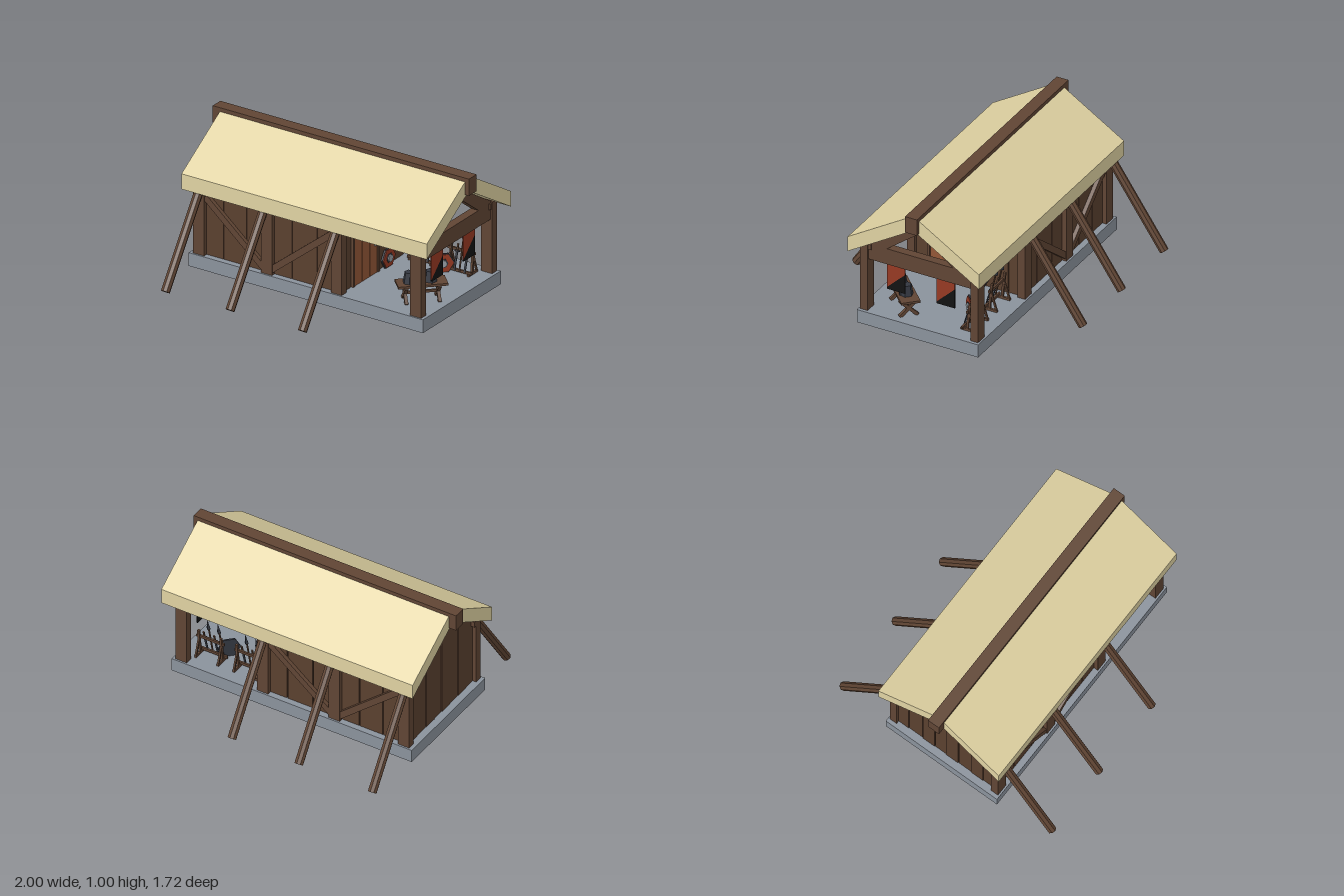
import * as THREE from 'three';

const mat = (name, color) => {
  const m = new THREE.MeshStandardMaterial({ color });
  m.name = name;
  return m;
};

export function createModel() {
  const thatch = mat('thatch', 0xdfd2a2);
  const timber = mat('timber', 0x604534);
  const plankWood = mat('plank wood', 0x5a402f);
  const doorWood = mat('door wood', 0x925637);
  const stone = mat('stone', 0x8a929c);
  const red = mat('red', 0x963923);
  const black = mat('black', 0x121212);
  const iron = mat('dark iron', 0x343841);
  const steel = mat('steel', 0x969da3);

  const root = new THREE.Group();
  root.name = 'openShelter';
  const group = (name, parent = root) => {
    const g = new THREE.Group();
    g.name = name;
    parent.add(g);
    return g;
  };
  const add = (parent, name, geo, m, x = 0, y = 0, z = 0) => {
    const mesh = new THREE.Mesh(geo, m);
    mesh.name = name;
    mesh.position.set(x, y, z);
    parent.add(mesh);
    return mesh;
  };
  const box = (parent, name, m, w, h, d, x, y, z) =>
    add(parent, name, new THREE.BoxGeometry(w, h, d), m, x, y, z);
  // Bar running between two points
  const UP = new THREE.Vector3(0, 1, 0);
  const bar = (parent, name, m, a, b, w, d = w, sides = 0) => {
    const A = new THREE.Vector3(...a), dir = new THREE.Vector3(...b).sub(A);
    const len = dir.length();
    let geo;
    if (sides) {
      geo = new THREE.CylinderGeometry(w, d, len, sides).toNonIndexed();
      geo.computeVertexNormals();
    } else geo = new THREE.BoxGeometry(w, len, d);
    const mesh = add(parent, name, geo, m);
    mesh.position.copy(A).addScaledVector(dir, 0.5);
    mesh.quaternion.setFromUnitVectors(UP, dir.normalize());
    return mesh;
  };
  // Plate with a (z, y) outline, spanning x0..x1
  const plate = (parent, name, m, pts, x0, x1, hole) => {
    const toV = (p) => new THREE.Vector2(p[0], p[1]);
    const shape = new THREE.Shape(pts.map(toV));
    if (hole) shape.holes.push(new THREE.Path(hole.map(toV)));
    const geo = new THREE.ExtrudeGeometry(shape, { depth: x1 - x0, bevelEnabled: false });
    geo.rotateY(-Math.PI / 2);
    return add(parent, name, geo, m, x1, 0, 0);
  };
  const underRoof = (z) => Math.min(0.865, 0.865 - (Math.abs(z) - 0.04) * 0.618);

  // Base, roof and ridge
  box(root, 'stoneFloor', stone, 1.83, 0.095, 0.9, 0, 0.0825, 0);
  plate(root, 'roof', thatch, [
    [0.487, 0.59], [0.487, 0.7], [0.04, 0.975], [-0.04, 0.975], [-0.487, 0.7],
    [-0.487, 0.59], [-0.04, 0.865], [0.04, 0.865],
  ], -0.945, 0.97);
  box(root, 'ridgeBeam', timber, 2, 0.12, 0.088, 0, 0.94, 0);

  // Posts, wall plates, raking struts and V braces on both long sides
  const frame = group('frame');
  for (const s of [1, -1]) {
    for (const x of [-0.845, -0.315, 0.23, 0.85])
      box(frame, 'post', timber, 0.085, 0.51, 0.055, x, 0.385, s * 0.41);
    box(frame, 'wallPlate', timber, 1.78, 0.04, 0.05, 0, 0.612, s * 0.385);
    for (const x of s > 0 ? [-0.835, -0.33, 0.235] : [-0.855, -0.295, 0.215])
      bar(frame, 'rakingStrut', timber, [x, 0.02, s * 0.836], [x, 0.615, s * 0.43], 0.031, 0.031, 8);
    bar(frame, 'brace', timber, [-0.34, 0.16, s * 0.418], [-0.8, 0.55, s * 0.418], 0.045, 0.03);
    bar(frame, 'brace', timber, [-0.29, 0.16, s * 0.418], [0.21, 0.56, s * 0.418], 0.045, 0.03);
  }

  // Plank walls along the sides, with narrow gaps
  const walls = group('plankWalls');
  const cuts = [-0.85, -0.67, -0.49, -0.3, -0.135, 0.06, 0.245];
  for (const z of [0.395, -0.395])
    for (let i = 0; i < cuts.length - 1; i++)
      box(walls, 'sidePlank', plankWood, cuts[i + 1] - cuts[i] - 0.006, 0.5, 0.022,
        (cuts[i] + cuts[i + 1]) / 2, 0.38, z);

  // Gable planks cut to the roof slope: closed end and inner partition
  const zCuts = [-0.41, -0.3, -0.19, -0.09, 0, 0.1, 0.2, 0.3, 0.41];
  for (const x of [-0.865, 0.225])
    for (let i = 0; i < zCuts.length - 1; i++) {
      const a = zCuts[i] + 0.002, b = zCuts[i + 1] - 0.002;
      const off = (i % 2) * 0.004;
      plate(walls, 'gablePlank', plankWood,
        [[a, 0.13], [b, 0.13], [b, underRoof(b)], [a, underRoof(a)]], x + off, x + 0.022 + off);
    }

  // Open-end truss with tie beam
  plate(frame, 'endTruss', timber, [
    [-0.435, 0.515], [0.435, 0.515], [0.435, 0.615], [0.04, 0.863], [-0.04, 0.863], [-0.435, 0.615],
  ], 0.82, 0.88, [[-0.245, 0.632], [0, 0.82], [0.245, 0.632]]);

  // Door
  const door = group('door');
  for (let i = 0; i < 3; i++)
    box(door, 'doorPlank', doorWood, 0.012, 0.41, 0.084, 0.256, 0.335, 0.055 + i * 0.087);
  box(door, 'doorHandle', steel, 0.015, 0.03, 0.01, 0.266, 0.345, 0.04);
  for (const z of [0, 0.285])
    box(door, 'doorJamb', timber, 0.02, 0.42, 0.02, 0.258, 0.34, z);

  // Two-coloured banners under the tie beam
  for (const z of [0.193, -0.175]) {
    const banner = group('banner');
    banner.position.z = z;
    const w = 0.067;
    plate(banner, 'bannerTop', red, [[w, 0.325], [w, 0.52], [-w, 0.52], [-w, 0.455]], 0.846, 0.854);
    plate(banner, 'bannerBottom', black, [[w, 0.312], [w, 0.325], [-w, 0.455], [-w, 0.312]], 0.846, 0.854);
  }

  // Hexagonal shields
  const disc = (r, h, n = 6) => {
    const g = new THREE.CylinderGeometry(r, r, h, n).toNonIndexed();
    g.computeVertexNormals();
    return g.rotateZ(-Math.PI / 2);
  };
  for (const [x, z, turn] of [[0.275, -0.095, 0], [0.615, -0.225, -Math.PI / 4]]) {
    const shield = group('shield');
    shield.position.set(x, 0.197, z);
    shield.rotation.y = turn;
    add(shield, 'shieldBack', disc(0.076, 0.012), iron);
    add(shield, 'shieldFace', disc(0.07, 0.012), red, 0.006);
    add(shield, 'shieldRing', disc(0.034, 0.008), iron, 0.012);
    add(shield, 'shieldBoss', disc(0.026, 0.022, 8), steel, 0.014);
  }

  // Trestle table with two helmets, set diagonally
  const table = group('table');
  table.position.set(0.735, 0.13, 0.2);
  table.rotation.y = Math.PI / 4;
  box(table, 'tableTop', timber, 0.33, 0.016, 0.13, 0, 0.124, 0);
  for (const x of [-0.11, 0.11]) {
    bar(table, 'crossLeg', timber, [x, 0, -0.06], [x, 0.118, 0.06], 0.022);
    bar(table, 'crossLeg', timber, [x, 0, 0.06], [x, 0.118, -0.06], 0.022);
  }
  box(table, 'stretcher', timber, 0.24, 0.016, 0.016, 0, 0.06, 0);
  for (const x of [-0.08, 0.06]) {
    const helmet = new THREE.CylinderGeometry(0.032, 0.045, 0.075, 6).toNonIndexed();
    helmet.computeVertexNormals();
    add(table, 'helmet', helmet, iron, x, 0.169, 0);
    box(table, 'noseGuard', iron, 0.012, 0.05, 0.012, x, 0.157, 0.042);
  }

  // Weapon racks with leaning spears and swords
  for (const x of [0.415, 0.705]) {
    const rack = group('weaponRack');
    rack.position.set(x, 0.13, -0.3);
    for (const px of [-0.085, 0.085]) {
      bar(rack, 'rackPost', timber, [px, 0, 0], [px, 0.2, -0.02], 0.016);
      bar(rack, 'rackFoot', timber, [px, 0.008, 0.045], [px, 0.008, -0.06], 0.016);
      bar(rack, 'rackStay', timber, [px, 0.01, -0.055], [px, 0.14, -0.014], 0.012);
    }
    box(rack, 'upperRail', timber, 0.21, 0.018, 0.014, 0, 0.148, -0.01);
    box(rack, 'lowerRail', timber, 0.21, 0.018, 0.014, 0, 0.02, 0.03);
    for (const px of [-0.065, 0.015]) {
      bar(rack, 'spearShaft', timber, [px, 0.02, 0.04], [px, 0.25, -0.012], 0.006, 0.006, 6);
      bar(rack, 'spearHead', iron, [px, 0.235, -0.01], [px, 0.315, -0.028], 0.001, 0.015, 4);
    }
    for (const px of [-0.025, 0.055]) {
      bar(rack, 'swordBlade', iron, [px, 0.02, 0.04], [px, 0.14, 0.006], 0.014, 0.006);
      bar(rack, 'swordGrip', timber, [px, 0.14, 0.006], [px, 0.19, -0.008], 0.01);
      box(rack, 'swordGuard', iron, 0.034, 0.008, 0.01, px, 0.142, 0.006);
    }
  }
  return root;
}
